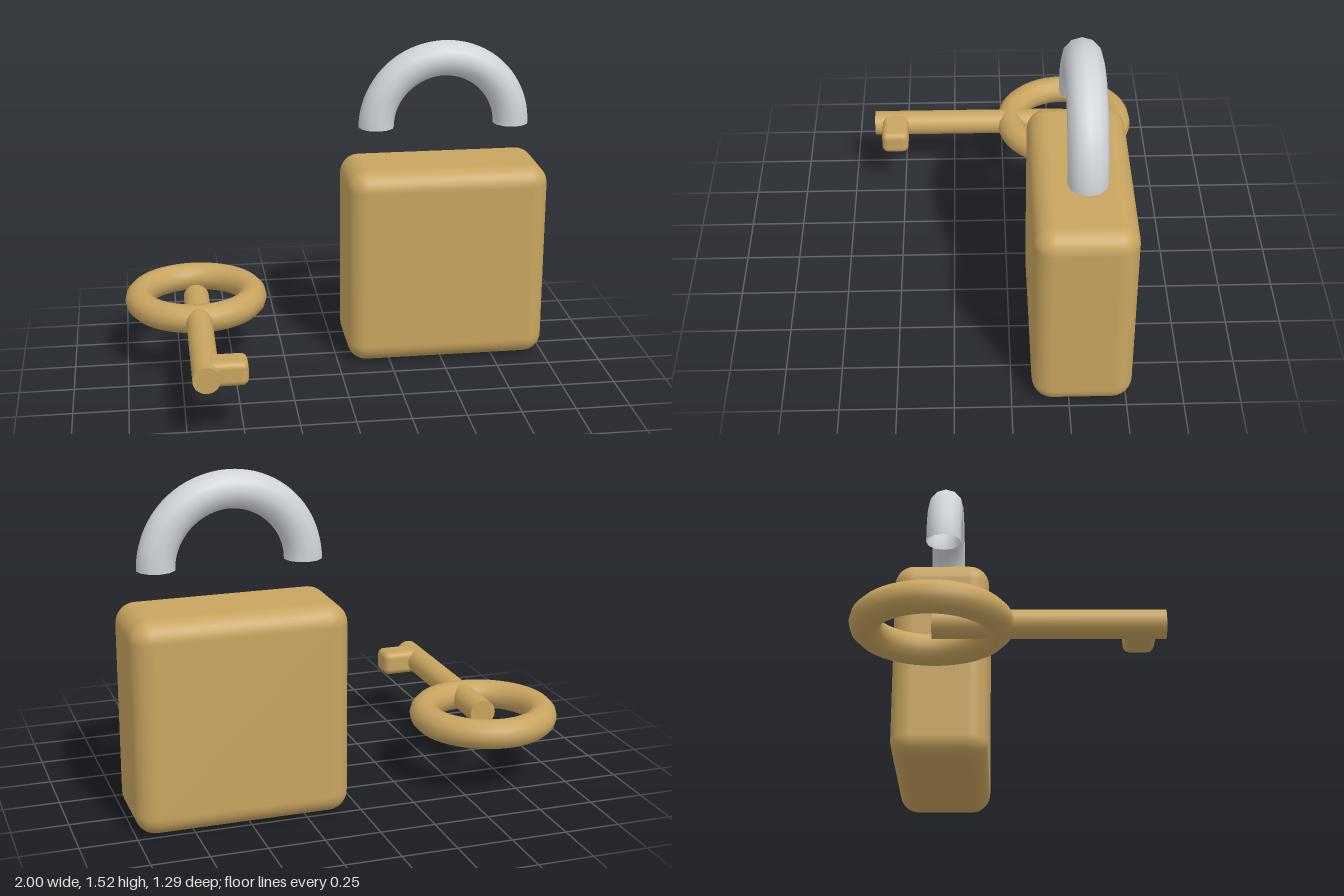
import * as THREE from 'three';
import { RoundedBoxGeometry } from 'three/addons/geometries/RoundedBoxGeometry.js';

export function createModel() {
  const brass = new THREE.MeshStandardMaterial({ color: 0xc8a45f });
  brass.name = 'brass';
  const steel = new THREE.MeshStandardMaterial({ color: 0xd0d4d9, side: THREE.DoubleSide });
  steel.name = 'steel';

  const model = new THREE.Group();
  model.name = 'padlockAndKey';

  function add(parent, name, geometry, material, x, y, z) {
    const mesh = new THREE.Mesh(geometry, material);
    mesh.name = name;
    mesh.position.set(x, y, z);
    parent.add(mesh);
    return mesh;
  }

  // Padlock: rounded body with an open-ended shackle floating above it
  const padlock = new THREE.Group();
  padlock.name = 'padlock';
  padlock.position.set(0.524, 0, -0.307);
  add(padlock, 'lockBody', new RoundedBoxGeometry(0.948, 0.948, 0.438, 5, 0.09), brass, 0, 0.476, 0);
  add(padlock, 'shackle', new THREE.TorusGeometry(0.321, 0.084, 12, 48, Math.PI), steel, 0, 1.122, 0);

  // Key lying flat: ring, shaft running to the ring's centre, and one bit
  const key = new THREE.Group();
  key.name = 'key';
  key.position.set(-0.663, 0.31, -0.307);
  const ring = add(key, 'keyRing', new THREE.TorusGeometry(0.27, 0.067, 12, 48), brass, 0, 0, 0);
  ring.rotation.x = Math.PI / 2;
  const shaft = add(key, 'keyShaft', new THREE.CylinderGeometry(0.06, 0.06, 0.95, 32), brass, 0, 0, 0.475);
  shaft.rotation.x = Math.PI / 2;
  add(key, 'keyBit', new RoundedBoxGeometry(0.18, 0.114, 0.13, 4, 0.03), brass, 0.094, 0, 0.847);

  model.add(padlock, key);
  return model;
}
